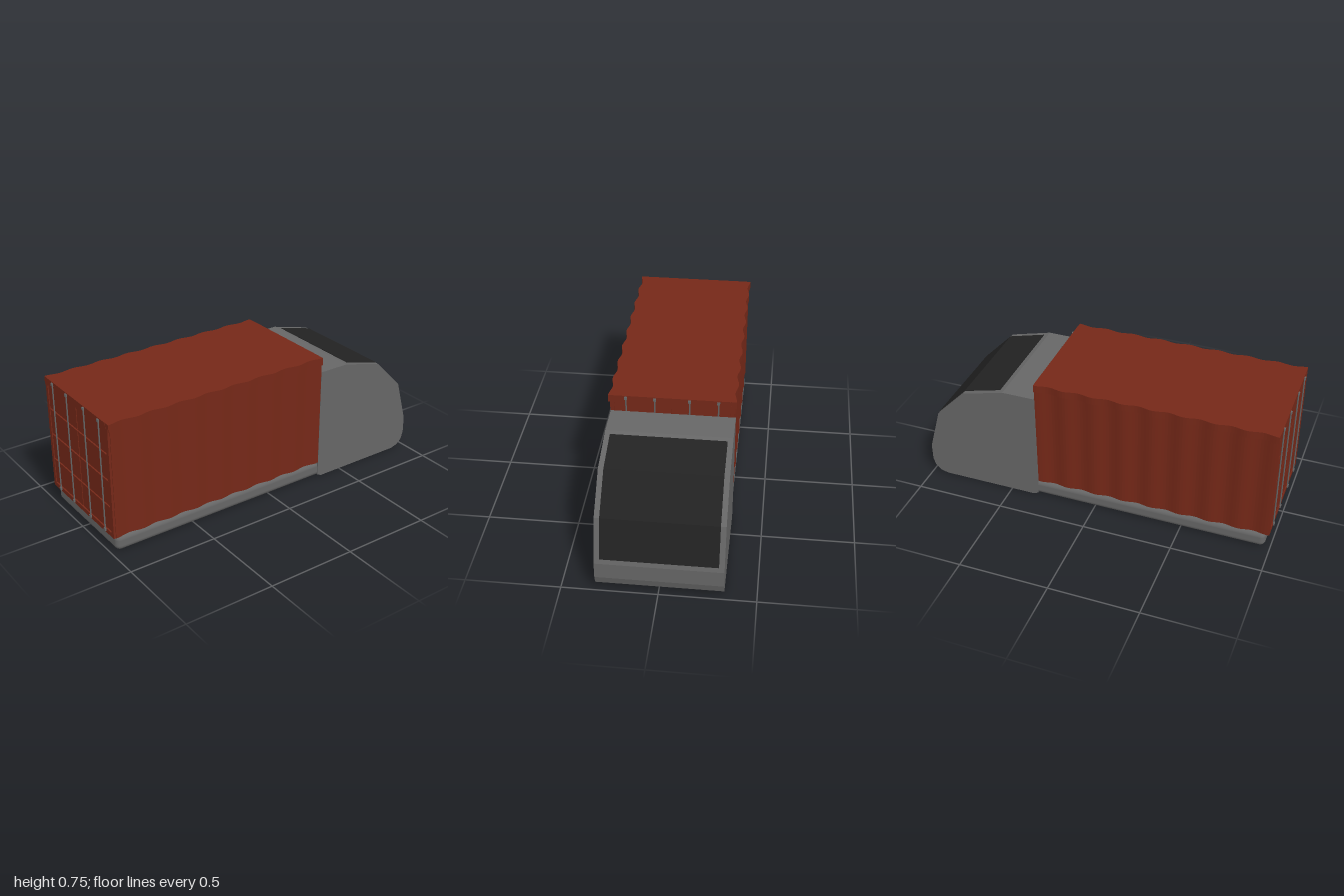
import * as THREE from 'three';
import { RoundedBoxGeometry } from 'three/addons/geometries/RoundedBoxGeometry.js';

const grey = new THREE.MeshStandardMaterial({ color: 0x666666 });
const red = new THREE.MeshStandardMaterial({ color: 0x752818 });
const dark = new THREE.MeshStandardMaterial({ color: 0x222222 });

const X0 = -0.99, X1 = 0.335, WAVES = 8;

function add(parent, name, geometry, material, x = 0, y = 0, z = 0) {
  const mesh = new THREE.Mesh(geometry, material);
  mesh.name = name;
  mesh.position.set(x, y, z);
  parent.add(mesh);
  return mesh;
}

// Extrudes a side profile (x, y) across the width from z0 to z1
function acrossWidth(points, z0, z1) {
  const shape = new THREE.Shape(points.map(([x, y]) => new THREE.Vector2(x, y)));
  const geo = new THREE.ExtrudeGeometry(shape, { depth: z1 - z0, bevelEnabled: false });
  return geo.translate(0, 0, z0);
}

// Upright slab whose two long sides are corrugated
function corrugated(x0, x1, half, amplitude, y0, y1) {
  const steps = WAVES * 10, side = [];
  for (let i = 0; i <= steps; i++) {
    const x = x0 + (x1 - x0) * i / steps;
    side.push([x, half + amplitude * Math.cos(2 * Math.PI * WAVES * i / steps)]);
  }
  const outline = [
    ...side.map(([x, z]) => new THREE.Vector2(x, -z)),
    ...side.reverse().map(([x, z]) => new THREE.Vector2(x, z)),
  ];
  const geo = new THREE.ExtrudeGeometry(new THREE.Shape(outline), { depth: y1 - y0, bevelEnabled: false });
  return geo.rotateX(-Math.PI / 2).translate(0, y0, 0);
}

// Container end, built facing +x with its outer face at x = 0
function containerEnd(name) {
  const end = new THREE.Group();
  end.name = name;
  const frameDepth = 0.012;

  // Outer frame
  for (const s of [-1, 1]) {
    add(end, 'cornerPost', new THREE.BoxGeometry(frameDepth, 0.63, 0.022), red, -frameDepth / 2, 0.41, s * 0.315);
  }
  add(end, 'topBeam', new THREE.BoxGeometry(frameDepth, 0.025, 0.61), red, -frameDepth / 2, 0.7375, 0);
  add(end, 'bottomBeam', new THREE.BoxGeometry(frameDepth, 0.025, 0.61), red, -frameDepth / 2, 0.1075, 0);

  // Two doors of four panels each, separated by narrow grooves
  for (const s of [-1, 1]) {
    for (let row = 0; row < 4; row++) {
      add(end, 'doorPanel', new THREE.BoxGeometry(0.008, 0.141, 0.299), red, -0.008, 0.196 + row * 0.1513, s * 0.153);
    }
  }

  // Locking bars with a keeper at each end
  for (const z of [-0.242, -0.091, 0.091, 0.242]) {
    add(end, 'lockingBar', new THREE.CylinderGeometry(0.004, 0.004, 0.63, 8), grey, 0.002, 0.42, z);
    for (const y of [0.112, 0.738]) {
      add(end, 'barKeeper', new THREE.BoxGeometry(0.012, 0.015, 0.015), grey, 0.002, y, z);
    }
  }
  return end;
}

export function createModel() {
  const truck = new THREE.Group();
  truck.name = 'truck';

  // Chassis
  add(truck, 'chassis', new RoundedBoxGeometry(1.36, 0.09, 0.645, 4, 0.03), grey, -0.29, 0.046, -0.004);

  // Cab
  add(truck, 'cab', acrossWidth([
    [0.34, 0.012], [0.365, 0], [0.91, 0], [0.955, 0.012], [0.985, 0.042], [0.998, 0.087],
    [0.998, 0.178], [0.93, 0.42], [0.76, 0.595], [0.52, 0.658], [0.34, 0.658],
  ], -0.333, 0.323), grey);

  // Windscreen wrapped over the sloping faces
  add(truck, 'windscreen', acrossWidth([
    [0.98, 0.203], [0.994, 0.205], [0.9325, 0.422], [0.7615, 0.598], [0.546, 0.6545],
    [0.543, 0.64], [0.754, 0.583], [0.917, 0.414],
  ], -0.305, 0.295), dark);

  // Container
  const container = new THREE.Group();
  container.name = 'container';
  truck.add(container);
  add(container, 'walls', corrugated(X0 + 0.012, X1 - 0.012, 0.322, 0.006, 0.095, 0.725), red);
  add(container, 'roofRail', corrugated(X0, X1, 0.3295, 0.0065, 0.708, 0.75), red)
    .scale.set(1, 1, 1);
  const front = containerEnd('containerFront');
  front.position.x = X1 + 0.001;
  const rear = containerEnd('containerRear');
  rear.rotation.y = Math.PI;
  rear.position.x = X0 - 0.001;
  container.add(front, rear);

  return truck;
}
